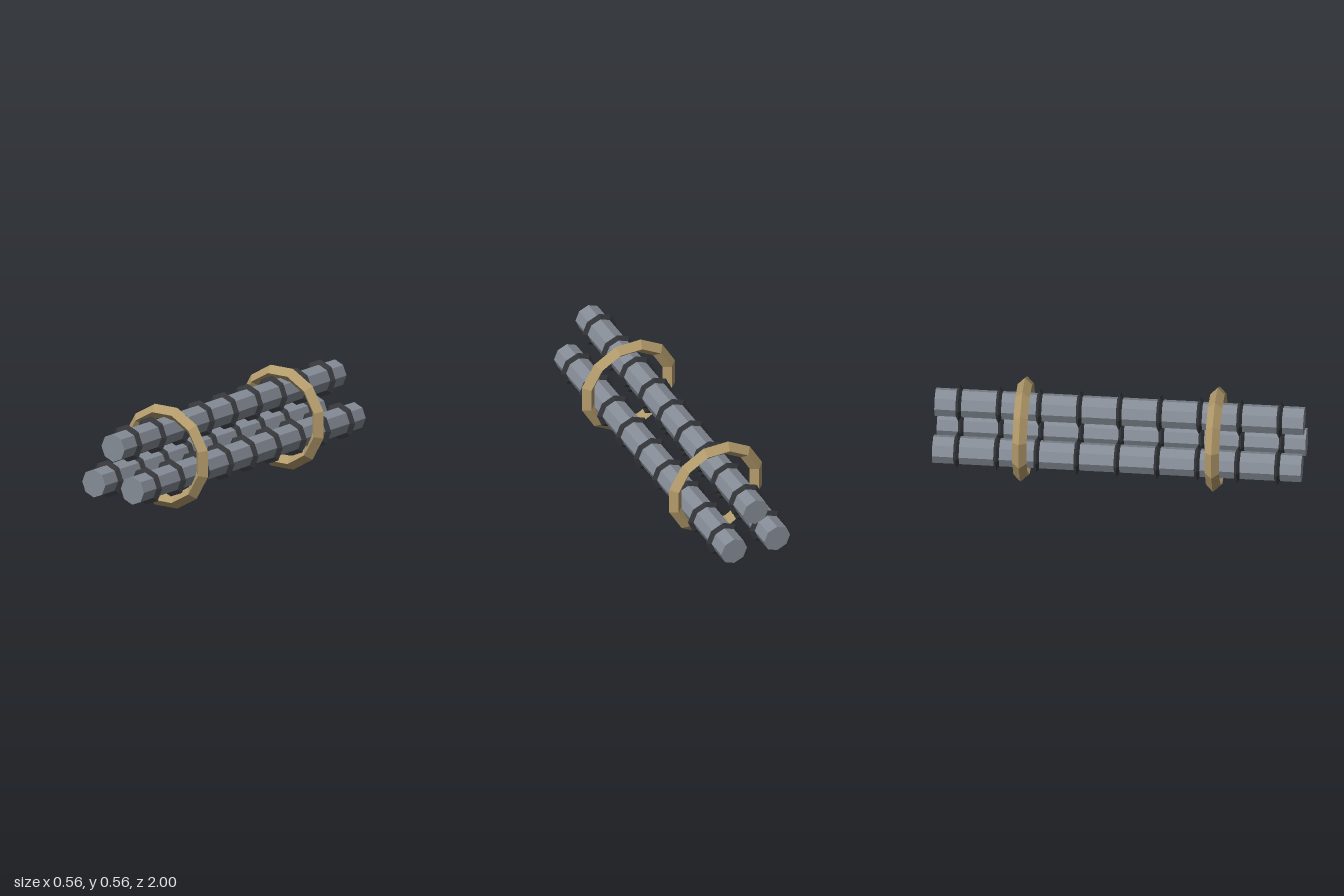
import * as THREE from 'three';

const material = (color) => new THREE.MeshStandardMaterial({ color, flatShading: true });

export function createModel() {
  const model = new THREE.Group();
  model.name = 'rodBundle';
  const steel = material(0x858c96);
  const black = material(0x35373b);
  const brass = material(0xb39b6b);

  // Octagonal rod along z, with a triangular-section rib repeated along it
  const rodGeometry = new THREE.CylinderGeometry(0.078, 0.078, 2, 8).rotateX(Math.PI / 2);
  const ribGeometry = new THREE.TorusGeometry(0.0867, 0.0173, 3, 8);
  const ribSpacing = 0.2175;

  const rodCentres = [[0, 0.427], [-0.13, 0.209], [0.13, 0.209]];
  rodCentres.forEach(([x, y], i) => {
    const ribbedRod = new THREE.Group();
    ribbedRod.name = ['topRod', 'rightRod', 'leftRod'][i];
    ribbedRod.position.set(x, y, 0);

    const rod = new THREE.Mesh(rodGeometry, steel);
    rod.name = 'rod';
    ribbedRod.add(rod);

    for (let k = -4; k <= 4; k++) {
      const rib = new THREE.Mesh(ribGeometry, black);
      rib.name = 'rib';
      rib.position.z = k * ribSpacing;
      ribbedRod.add(rib);
    }
    model.add(ribbedRod);
  });

  // Twelve-sided hoops with a diamond section around the bundle, flat side down
  const hoopGeometry = new THREE.TorusGeometry(0.252, 0.039, 4, 12).rotateZ(Math.PI / 12);
  for (const side of [1, -1]) {
    const hoop = new THREE.Mesh(hoopGeometry, brass);
    hoop.name = side > 0 ? 'frontHoop' : 'backHoop';
    hoop.position.set(0, 0.282, side * 0.522);
    model.add(hoop);
  }
  return model;
}
